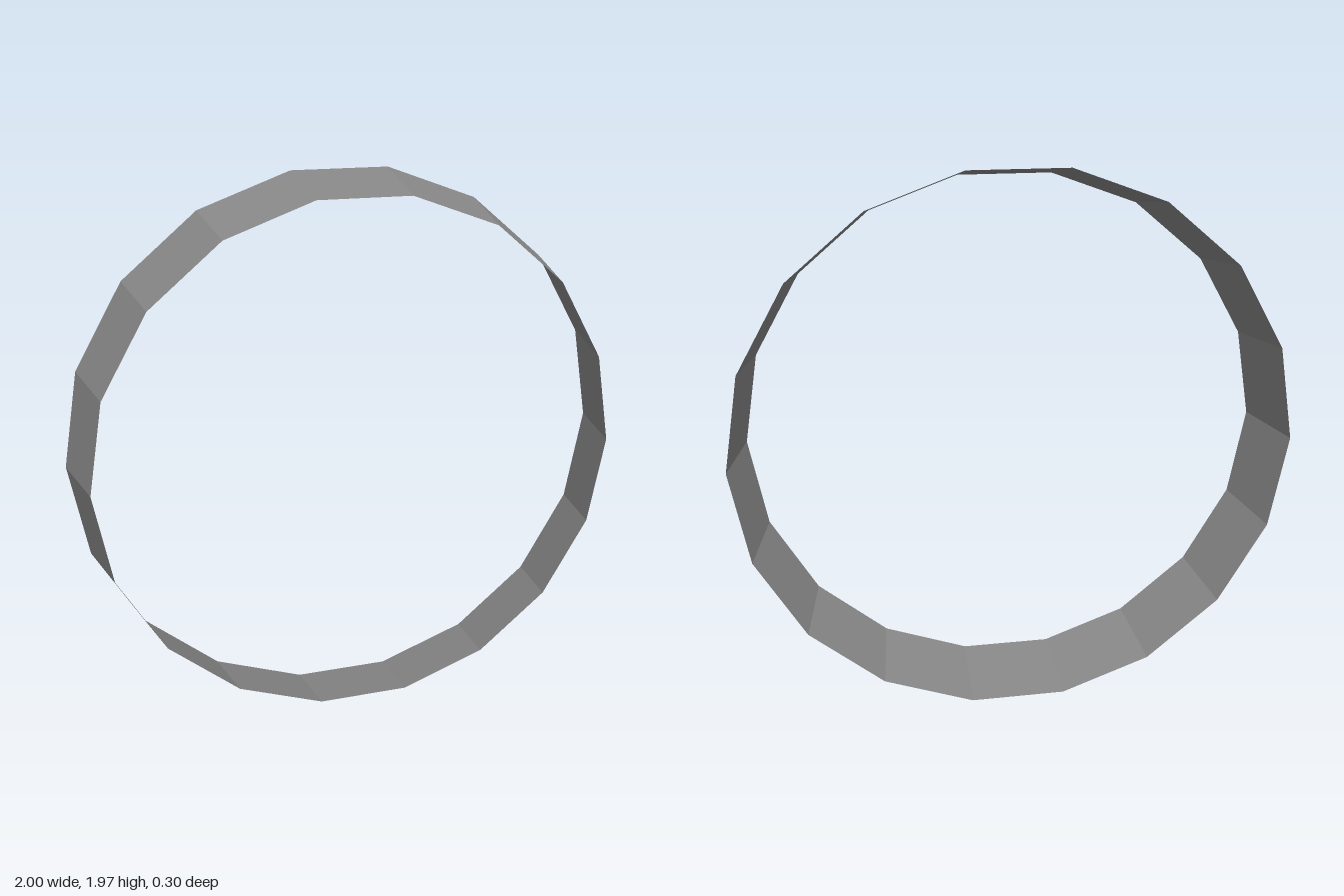
import * as THREE from 'three';

export function createModel() {
  const group = new THREE.Group();
  const sides = 18;
  const backRadius = 1;
  const frontRadius = 0.942;
  const depth = 0.296;

  // Thin tapered band: open 18-sided cone section, narrower towards the front,
  // with a corner on each side and a flat facet at top and bottom
  const geometry = new THREE.CylinderGeometry(
    frontRadius, backRadius, depth, sides, 1, true, Math.PI / 2
  );
  geometry.rotateX(Math.PI / 2);
  geometry.translate(0, backRadius * Math.cos(Math.PI / sides), 0);

  const band = new THREE.Mesh(geometry, new THREE.MeshStandardMaterial({
    color: 0x878787, flatShading: true, side: THREE.DoubleSide
  }));
  band.name = 'taperedBand';
  group.add(band);
  return group;
}
